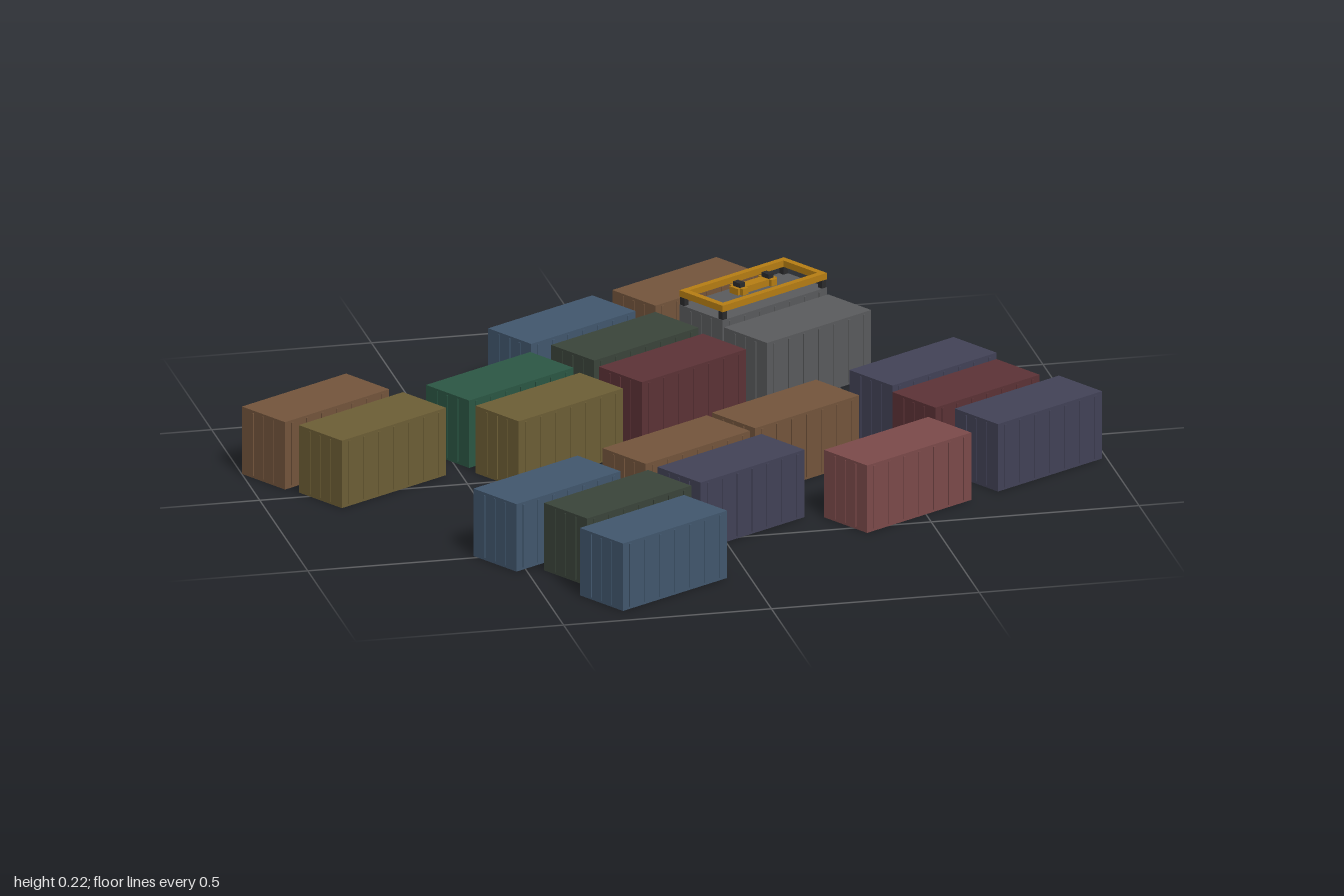
import * as THREE from 'three';

const LEN = 0.334, WID = 0.148, HGT = 0.168, YAW = Math.PI / 6;

const COLORS = {
  brown: 0x75563d, blue: 0x42586f, moss: 0x3b453b, maroon: 0x5d3337, green: 0x2c5845,
  olive: 0x6e5f36, indigo: 0x434358, red: 0x7d4b4b, grey: 0x5b5c5e, yellow: 0xb87f14, dark: 0x2b2b2d,
};
const materials = {};
for (const key in COLORS) {
  materials[key] = new THREE.MeshStandardMaterial({ color: COLORS[key] });
}

// colour, x, z of each container centre
const YARD = [
  ['brown', 0.209, -0.794], ['grey', 0.34, -0.66], ['grey', 0.406, -0.484],
  ['blue', -0.134, -0.602], ['moss', -0.016, -0.457], ['maroon', 0.059, -0.286],
  ['green', -0.364, -0.254], ['olive', -0.283, -0.088],
  ['brown', -0.818, -0.206], ['olive', -0.717, -0.051],
  ['indigo', 0.626, -0.131], ['maroon', 0.69, 0.04], ['indigo', 0.807, 0.184],
  ['brown', 0.246, 0.083], ['brown', -0.059, 0.265], ['indigo', 0.037, 0.42],
  ['red', 0.444, 0.393], ['blue', -0.417, 0.468], ['moss', -0.278, 0.602], ['blue', -0.235, 0.789],
];

function box(parent, name, mat, w, h, d, x, y, z) {
  const mesh = new THREE.Mesh(new THREE.BoxGeometry(w, h, d), materials[mat]);
  mesh.name = name;
  mesh.position.set(x, y, z);
  parent.add(mesh);
}

function container(color) {
  const g = new THREE.Group();
  g.name = 'container';
  box(g, 'body', color, LEN, HGT, WID, 0, HGT / 2, 0);
  // shallow ribs along both long sides
  for (const s of [-1, 1]) {
    for (let i = 0; i < 7; i++) {
      box(g, 'sideRib', color, 0.006, HGT - 0.012, 0.004, (i - 3) * 0.048, HGT / 2, s * WID / 2);
    }
  }
  // door seam and locking bars on the ends
  for (const s of [-1, 1]) {
    for (const z of [-0.035, 0, 0.035]) {
      box(g, 'doorBar', color, 0.004, HGT - 0.012, 0.004, s * LEN / 2, HGT / 2, z);
    }
  }
  return g;
}

// lifting frame resting on a container by four corner feet
function spreader() {
  const g = new THREE.Group();
  g.name = 'spreader';
  const y = 0.196, t = 0.016;
  for (const s of [-1, 1]) {
    box(g, 'longBeam', 'yellow', LEN, t, t, 0, y, s * (WID - t) / 2);
    box(g, 'endBeam', 'yellow', t, t, WID - 2 * t, s * (LEN - t) / 2, y, 0);
    for (const q of [-1, 1]) {
      box(g, 'cornerFoot', 'dark', 0.014, 0.022, 0.014, s * (LEN - t) / 2, 0.178, q * (WID - t) / 2);
    }
    // hoist blocks
    box(g, 'hoistBlock', 'yellow', 0.018, t, 0.046, s * 0.046, y, 0);
    box(g, 'hoistPin', 'dark', 0.016, 0.012, 0.024, s * 0.046, 0.209, 0);
  }
  box(g, 'centreBeam', 'yellow', 0.125, t, 0.028, 0, y, 0);
  return g;
}

export function createModel() {
  const model = new THREE.Group();
  model.name = 'containerYard';
  const place = (part, x, z) => {
    part.position.set(x, 0, z);
    part.rotation.y = YAW;
    model.add(part);
  };
  for (const [color, x, z] of YARD) place(container(color), x, z);
  place(spreader(), 0.34, -0.66);
  return model;
}
